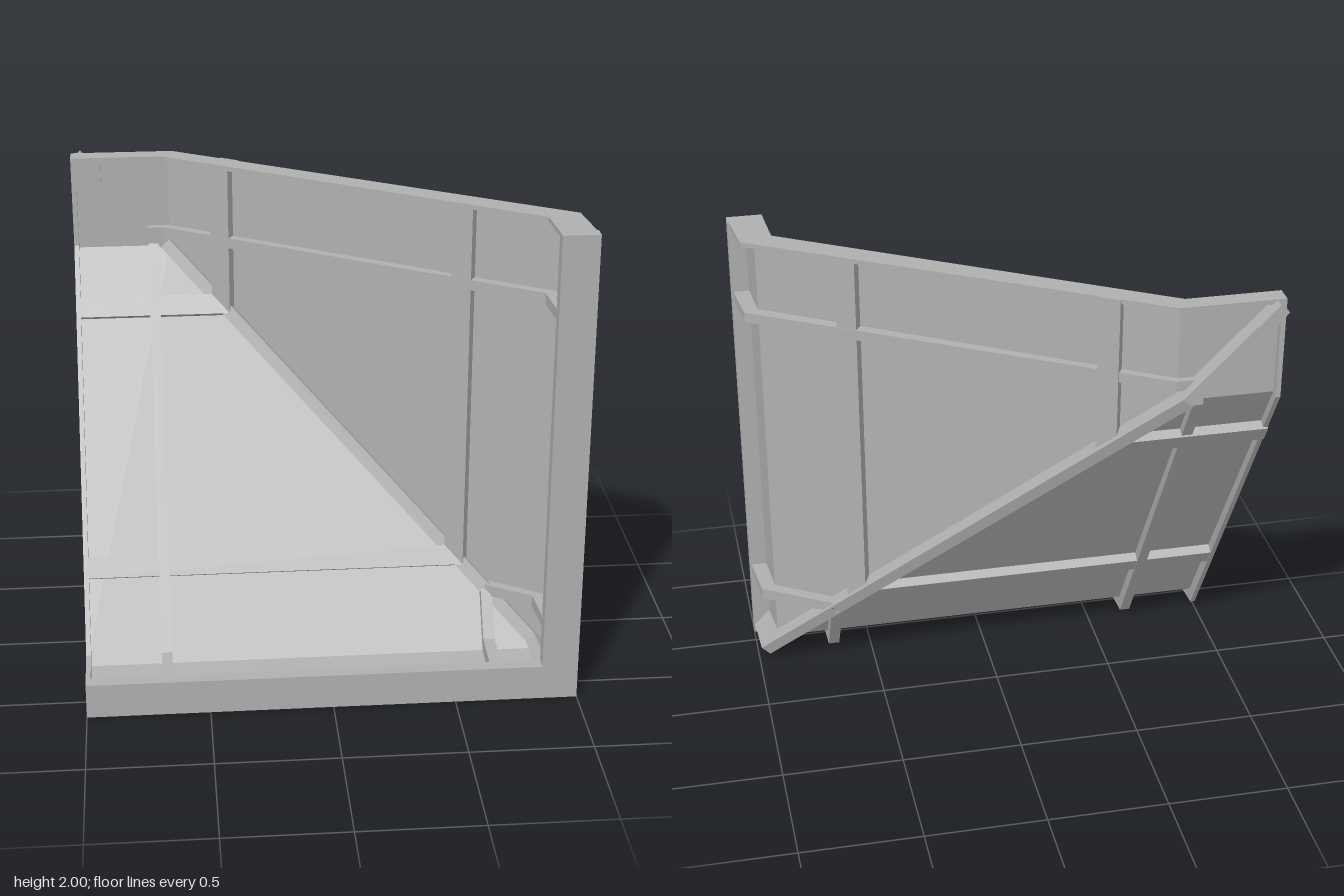
import * as THREE from 'three';

const grey = new THREE.MeshStandardMaterial({ color: 0xb0b0b0 });
grey.name = 'grey metal';

// Cross-section lines (x, z) of the right wing: back plate, slope, side wall
const INNER = [[-1, -0.5], [-0.62, -0.5], [0.84, 0.4], [0.853, 0.6]];
const OUTER = [[-1, -0.575], [-0.58, -0.575], [0.97, 0.36], [0.997, 0.6]];
const SKIN_IN = [[-1, -0.533], [-0.6, -0.533], [0.897, 0.39], [0.918, 0.6]];
const SKIN_OUT = [[-1, -0.547], [-0.592, -0.547], [0.912, 0.382], [0.932, 0.6]];

// Extrudes a polygon by one unit and places each (a, b, depth) with a rule; faces always point outward
function solid(poly, place) {
  const shape = new THREE.Shape(poly.map(([a, b]) => new THREE.Vector2(a, b)));
  const geo = new THREE.ExtrudeGeometry(shape, { depth: 1, bevelEnabled: false });
  const pos = geo.attributes.position;
  for (let i = 0; i < pos.count; i++) pos.setXYZ(i, ...place(pos.getX(i), pos.getY(i), pos.getZ(i)));
  const [a, b, c] = [0, 1, 2].map(() => new THREE.Vector3());
  let volume = 0;
  for (let i = 0; i < pos.count; i += 3) {
    a.fromBufferAttribute(pos, i);
    b.fromBufferAttribute(pos, i + 1);
    c.fromBufferAttribute(pos, i + 2);
    volume += a.dot(b.cross(c));
  }
  if (volume < 0) {
    for (let i = 0; i < pos.count; i += 3) {
      b.fromBufferAttribute(pos, i + 1);
      c.fromBufferAttribute(pos, i + 2);
      pos.setXYZ(i + 1, c.x, c.y, c.z);
      pos.setXYZ(i + 2, b.x, b.y, b.z);
    }
  }
  geo.computeVertexNormals();
  return geo;
}

// Part of a cross-section line from x = start onward
function lineFrom(line, start) {
  const out = [];
  for (let i = 0; i < line.length; i++) {
    const [x, z] = line[i];
    if (x < start) continue;
    if (!out.length && i > 0 && x > start) {
      const [px, pz] = line[i - 1];
      out.push([start, pz + (z - pz) * (start - px) / (x - px)]);
    }
    out.push([x, z]);
  }
  return out;
}

const band = (inner, outer, start = -1) =>
  [...lineFrom(inner, start), ...lineFrom(outer, start).reverse()];

export function createModel() {
  const model = new THREE.Group();
  model.name = 'cornerPanel';
  const add = (group, name, geo) => {
    const mesh = new THREE.Mesh(geo, grey);
    mesh.name = name;
    group.add(mesh);
  };

  // Two wings, mirrored across the diagonal seam x + y = 1
  for (const mirrored of [false, true]) {
    const wing = new THREE.Group();
    wing.name = mirrored ? 'lowerWing' : 'sideWing';
    model.add(wing);
    const put = (x, y, z) => (mirrored ? [1 - y, 1 - x, z] : [x, y, z]);
    // Runs up from the diagonal seam to the top edge
    const fromSeam = (x, z, d) => put(x, 1 - x + d * (1 + x), z);
    const slab = (y0, y1) => (x, z, d) => put(x, y0 + d * (y1 - y0), z);

    add(wing, 'skin', solid(band(SKIN_IN, SKIN_OUT), fromSeam));
    add(wing, 'frontFlange',
      solid([[0.853, 0.565], [1, 0.565], [1, 0.62], [0.853, 0.62]], fromSeam));
    add(wing, 'endFrame', solid(band(INNER, OUTER), slab(1.98, 2)));

    // Ribs that follow the cross-section
    add(wing, 'upperCrossRib', solid(band(INNER, OUTER, -0.69), slab(1.647, 1.69)));
    add(wing, 'lowerCrossRib', solid(band(INNER, OUTER, 0.66), slab(0.31, 0.357)));

    // Long ribs standing square on the slope
    for (const x of [-0.43, 0.5]) {
      const z = -0.5 + (x + 0.62) * 0.6164;
      const [dx, dz, nx, nz] = [0.072, 0.0444, 0.05, -0.081];
      add(wing, 'longRib', solid(
        [[x, z], [x + dx, z + dz], [x + dx + nx, z + dz + nz], [x + nx, z + nz]], fromSeam));
    }
  }

  // Spine along the diagonal seam
  const spine = [[0.147, 0.6], [0.16, 0.4], [1.62, -0.5], [1.67, -0.5], [1.67, -0.538],
    [1.98, -0.538], [1.98, -0.62], [1.615, -0.62], [0.03, 0.36], [0.02, 0.6]];
  add(model, 'diagonalSpine', solid(spine, (p, z, d) => {
    const side = (d - 0.5) * 0.036;
    return [1 - p + side, p + side, z];
  }));

  // Small square pad in the top corner
  add(model, 'cornerPad', solid([[-0.99, 1.88], [-0.88, 1.88], [-0.88, 1.99], [-0.99, 1.99]],
    (x, y, d) => [x, y, -0.54 + d * 0.04]));

  return model;
}
